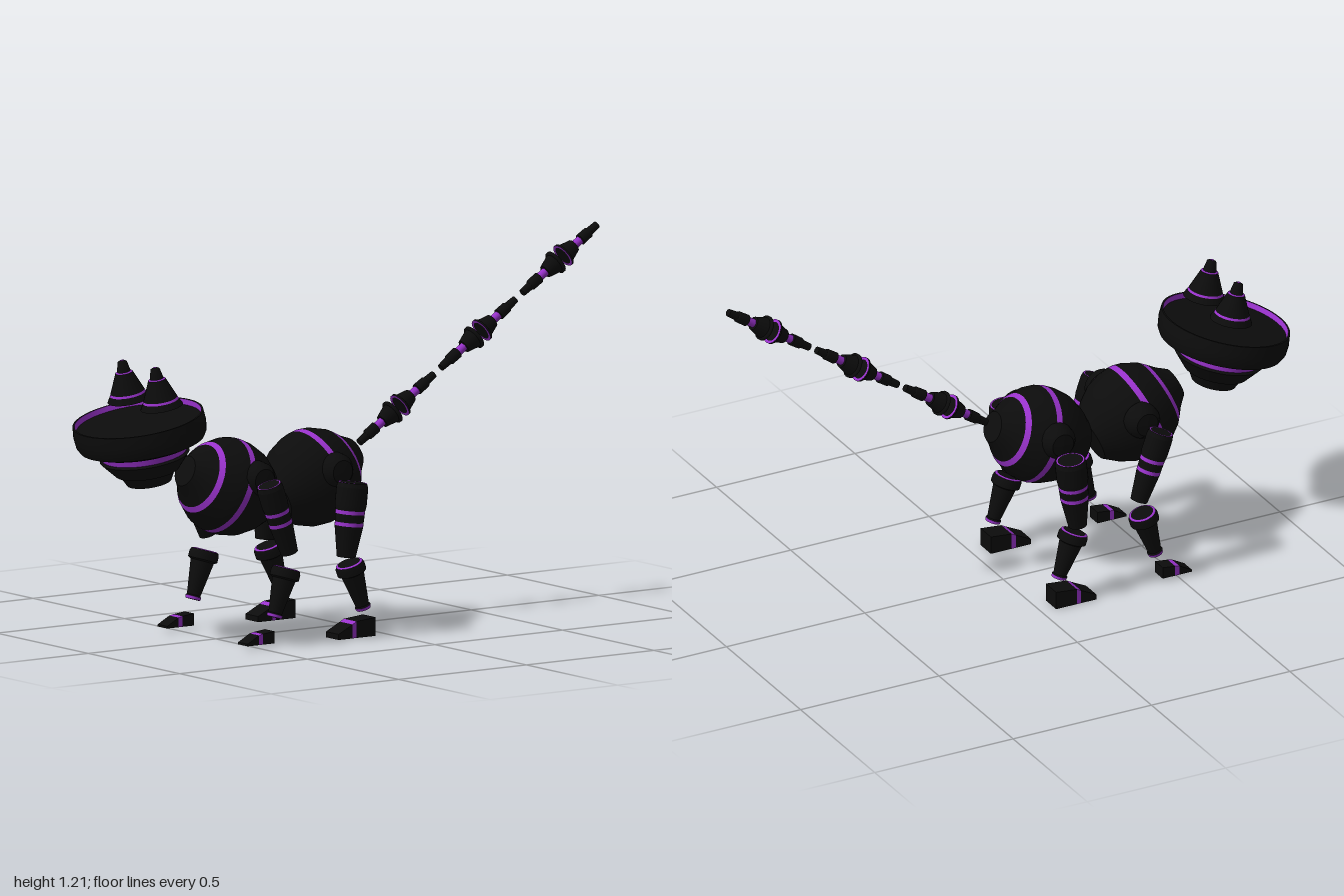
import * as THREE from 'three';

const black = new THREE.MeshStandardMaterial({ color: 0x0c0c0c });
black.name = 'black shell';
const purple = new THREE.MeshStandardMaterial({ color: 0x9932cc });
purple.name = 'purple trim';
const deg = Math.PI / 180;

// Turned part: each section is [material, [radius, height], ...], smooth inside, creased between sections
function turned(name, sections, sides = 32) {
  const group = new THREE.Group();
  group.name = name;
  sections.forEach(([mat, ...pts]) => {
    const profile = pts.map(([r, h]) => new THREE.Vector2(r, h));
    const mesh = new THREE.Mesh(new THREE.LatheGeometry(profile, sides), mat);
    mesh.name = name + (mat === purple ? 'Trim' : 'Shell');
    group.add(mesh);
  });
  return group;
}

// Stand a turned part at a point with its axis along a direction
function aim(part, from, to) {
  const a = new THREE.Vector3(...from), b = new THREE.Vector3(...to);
  part.position.copy(a);
  part.quaternion.setFromUnitVectors(new THREE.Vector3(0, 1, 0), b.sub(a).normalize());
  return part;
}

// Ball-like body half with a waist band, a ring on the cone and a blunt neck
function bodyHalf(name) {
  return turned(name, [
    [black, [0, -0.155], [0.08, -0.155]],
    [black, [0.08, -0.155], [0.115, -0.115], [0.142, -0.07], [0.155, -0.02], [0.157, 0.012]],
    [purple, [0.157, 0.012], [0.155, 0.032]],
    [black, [0.155, 0.032], [0.146, 0.06], [0.118, 0.105]],
    [purple, [0.118, 0.105], [0.104, 0.119]],
    [black, [0.104, 0.119], [0.075, 0.145], [0.05, 0.175]],
    [black, [0.05, 0.175], [0, 0.175]],
  ], 40);
}

function makeHead() {
  const head = new THREE.Group();
  head.name = 'head';
  const skull = turned('skull', [
    [black, [0, -0.215], [0.07, -0.215]],
    [black, [0.07, -0.215], [0.088, -0.178]],
    [black, [0.088, -0.178], [0.1, -0.178]],
    [black, [0.1, -0.178], [0.14, -0.128]],
    [black, [0.14, -0.128], [0.132, -0.122]],
    [purple, [0.132, -0.122], [0.136, -0.095]],
    [black, [0.136, -0.095], [0.168, -0.093], [0.195, -0.082]],
    [black, [0.195, -0.082], [0.204, -0.065], [0.207, -0.035], [0.204, 0]],
    [black, [0.204, 0], [0.198, 0]],
    [purple, [0.198, 0], [0.195, -0.018]],
    [black, [0.195, -0.018], [0, -0.018]],
  ], 48);
  skull.scale.x = 1.1;
  head.add(skull);
  // floating pointed ears
  for (const side of [-1, 1]) {
    const ear = turned(side > 0 ? 'leftEar' : 'rightEar', [
      [black, [0, 0], [0.069, 0]],
      [black, [0.069, 0], [0.058, 0.02]],
      [purple, [0.058, 0.02], [0.055, 0.027]],
      [black, [0.055, 0.027], [0.028, 0.092]],
      [purple, [0.028, 0.092], [0.022, 0.095]],
      [black, [0.022, 0.095], [0.015, 0.127], [0.006, 0.132]],
      [purple, [0.006, 0.132], [0, 0.132]],
    ], 24);
    ear.position.set(side * 0.09, 0.038, -0.038);
    head.add(ear);
  }
  head.position.set(-0.008, 0.74, 0.8);
  head.rotation.x = 12 * deg;
  return head;
}

// Tail link: two cups facing each other across a gap
function tailLink() {
  const link = new THREE.Group();
  link.name = 'tailLink';
  const half = [
    [black, [0, 0], [0.012, 0]],
    [black, [0.012, 0], [0.014, 0.035]],
    [black, [0.014, 0.035], [0.018, 0.04], [0.019, 0.078]],
    [black, [0.019, 0.078], [0.014, 0.08]],
    [purple, [0.014, 0.08], [0.014, 0.108]],
    [black, [0.014, 0.108], [0.022, 0.108]],
    [black, [0.022, 0.108], [0.034, 0.15]],
    [black, [0.034, 0.15], [0.041, 0.153], [0.041, 0.16]],
    [purple, [0.041, 0.16], [0.032, 0.16]],
    [black, [0.032, 0.16], [0, 0.16]],
  ];
  const lower = turned('lowerCup', half, 20);
  const upper = turned('upperCup', half, 20);
  upper.rotation.x = Math.PI;
  upper.position.y = 0.35;
  link.add(lower, upper);
  return link;
}

// Upper leg: length l, narrow end radius a, wide end radius b
function upperLeg(l, a, b) {
  const m = b * 0.9;
  return turned('upperLeg', [
    [black, [0, 0], [a, 0]],
    [black, [a, 0], [m, l * 0.42]],
    [purple, [m, l * 0.42], [m, l * 0.47]],
    [black, [m, l * 0.47], [m * 1.03, l * 0.58]],
    [purple, [m * 1.03, l * 0.58], [m * 1.04, l * 0.63]],
    [black, [m * 1.04, l * 0.63], [b, l * 0.7], [b, l * 0.94]],
    [black, [b, l * 0.94], [b * 0.9, l]],
    [purple, [b * 0.9, l], [b * 0.8, l]],
    [black, [b * 0.8, l], [0, l]],
  ], 28);
}

const lowerLeg = () => turned('lowerLeg', [
  [black, [0, 0], [0.024, 0]],
  [purple, [0.024, 0], [0.026, 0.01]],
  [black, [0.026, 0.01], [0.022, 0.014]],
  [black, [0.022, 0.014], [0.038, 0.125]],
  [black, [0.038, 0.125], [0.048, 0.13]],
  [black, [0.048, 0.13], [0.048, 0.15], [0.044, 0.16]],
  [purple, [0.044, 0.16], [0.037, 0.163]],
  [black, [0.037, 0.163], [0, 0.163]],
], 28);

// Wedge foot cut into heel, trim band and toe; top is a list of [z, y] from heel to toe
function makeFoot(top, base, width) {
  const foot = new THREE.Group();
  foot.name = 'foot';
  for (let i = 0; i < top.length - 1; i++) {
    const [z0, y0] = top[i], [z1, y1] = top[i + 1];
    const shape = new THREE.Shape([[z0, base], [z1, base], [z1, y1], [z0, y0]].map(p => new THREE.Vector2(...p)));
    const geo = new THREE.ExtrudeGeometry(shape, { depth: width, bevelEnabled: false });
    geo.translate(0, 0, -width / 2).rotateY(-Math.PI / 2);
    const mesh = new THREE.Mesh(geo, i === 1 ? purple : black);
    mesh.name = ['heel', 'footTrim', 'toe'][i];
    foot.add(mesh);
  }
  return foot;
}

function makeLeg(front, side) {
  const leg = new THREE.Group();
  leg.name = (front ? 'front' : 'rear') + (side > 0 ? 'LeftLeg' : 'RightLeg');
  const x = side * 0.223 - 0.002;
  const joint = turned('joint', [
    [black, [0.06, 0], [0.056, 0.03], [0.038, 0.052]],
    [black, [0.038, 0.052], [0, 0.055]],
  ], 24);
  leg.add(aim(joint, [side * 0.12, 0.525, front ? 0.43 : 0.125], [side, 0.525, front ? 0.43 : 0.125]));
  if (front) {
    leg.add(aim(upperLeg(0.24, 0.028, 0.043), [x, 0.295, 0.37], [x, 0.52, 0.45]));
    leg.add(aim(lowerLeg(), [x, 0.092, 0.43], [x, 0.25, 0.38]));
  } else {
    leg.add(aim(upperLeg(0.24, 0.03, 0.051), [x, 0.26, 0.148], [x, 0.5, 0.122]));
    leg.add(aim(lowerLeg(), [x, 0.088, 0.08], [x, 0.243, 0.138]));
  }
  const foot = front
    ? makeFoot([[0.44, 0.05], [0.485, 0.045], [0.5, 0.042], [0.545, 0.018]], 0.011, 0.052)
    : makeFoot([[0.05, 0.06], [0.125, 0.053], [0.14, 0.045], [0.195, 0.018]], 0, 0.07);
  foot.position.x = side * 0.22 - 0.009;
  leg.add(foot);
  return leg;
}

export function createModel() {
  const model = new THREE.Group();
  model.name = 'segmentedCat';

  // body halves lean away from each other
  const chest = bodyHalf('chest');
  chest.position.set(0.002, 0.488, 0.46);
  chest.rotation.x = 68 * deg;
  const hips = bodyHalf('hips');
  hips.position.set(0.002, 0.488, 0.125);
  hips.rotation.x = -68 * deg;
  model.add(chest, hips, makeHead());

  // straight raised tail
  for (let i = 0; i < 3; i++) {
    const y = 0.58 + i * 0.2115, z = -0.065 - i * 0.3195;
    model.add(aim(tailLink(), [-0.005, y, z], [-0.005, y + 0.193, z - 0.292]));
  }

  for (const front of [true, false]) for (const side of [-1, 1]) model.add(makeLeg(front, side));
  return model;
}
